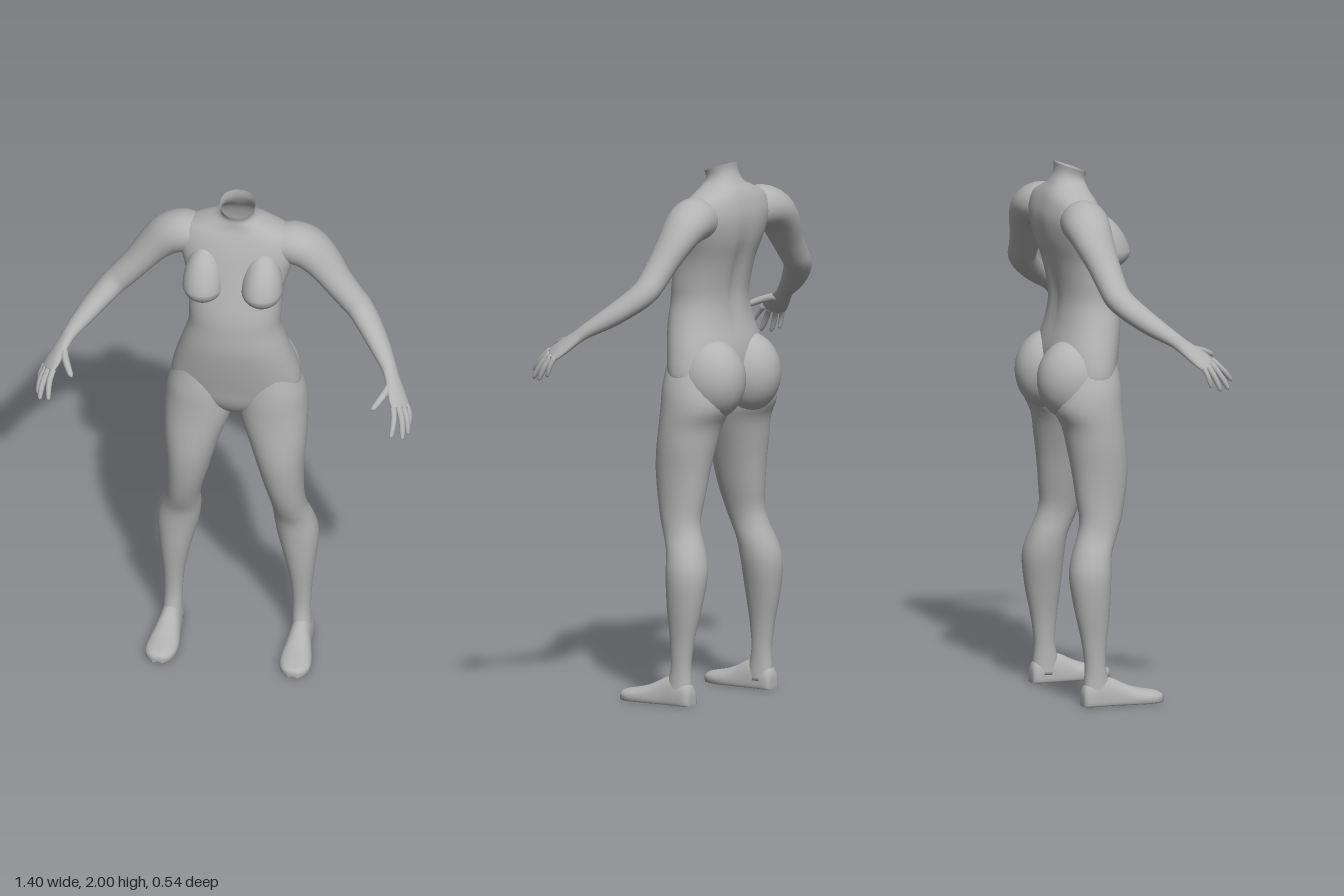
import * as THREE from 'three';

// Catmull-Rom subdivision of rows of numbers, column by column
function refine(rows, steps) {
  const out = [];
  const at = (i) => rows[Math.min(Math.max(i, 0), rows.length - 1)];
  for (let i = 0; i < rows.length - 1; i++) {
    for (let k = 0; k < steps; k++) {
      const t = k / steps;
      out.push(rows[i].map((b, c) => {
        const a = at(i - 1)[c], d = at(i + 1)[c], e = at(i + 2)[c];
        return b + 0.5 * t * (d - a + t * (2 * a - 5 * b + 4 * d - e + t * (3 * (b - d) + e - a)));
      }));
    }
  }
  out.push(rows[rows.length - 1]);
  return out;
}

// Closed skin over rings of Vector3, capped at the ends and wound outward
function skin(rings, capStart = true, capEnd = true) {
  const n = rings[0].length, pos = [], idx = [];
  rings.forEach((r) => r.forEach((p) => pos.push(p.x, p.y, p.z)));
  for (let i = 0; i < rings.length - 1; i++) {
    for (let j = 0; j < n; j++) {
      const a = i * n + j, b = i * n + (j + 1) % n;
      idx.push(a, b, a + n, b, b + n, a + n);
    }
  }
  const cap = (row, flip) => {
    const c = new THREE.Vector3();
    rings[row].forEach((p) => c.addScaledVector(p, 1 / n));
    const m = pos.length / 3;
    pos.push(c.x, c.y, c.z);
    for (let j = 0; j < n; j++) {
      const a = row * n + j, b = row * n + (j + 1) % n;
      idx.push(...(flip ? [m, b, a] : [m, a, b]));
    }
  };
  if (capStart) cap(0, true);
  if (capEnd) cap(rings.length - 1, false);
  // signed volume about the middle decides the winding
  const mid = rings[rings.length >> 1][0];
  const v = (i) => new THREE.Vector3().fromArray(pos, i * 3).sub(mid);
  let volume = 0;
  for (let i = 0; i < idx.length; i += 3) volume += v(idx[i]).dot(v(idx[i + 1]).cross(v(idx[i + 2])));
  if (volume < 0) idx.reverse();
  const g = new THREE.BufferGeometry();
  g.setAttribute('position', new THREE.Float32BufferAttribute(pos, 3));
  g.setIndex(idx);
  g.computeVertexNormals();
  return g;
}

// One ring: calls fn(cos, sin) around the circle, slightly squared by power
function ring(n, power, fn) {
  const sp = (v) => Math.sign(v) * Math.abs(v) ** (2 / power);
  return Array.from({ length: n }, (_, j) => {
    const a = (j / n) * Math.PI * 2;
    return fn(sp(Math.cos(a)), sp(Math.sin(a)));
  });
}

// Limb along a path; rows are [x, y, z, wide radius, thin radius]
const HAND_AXIS = new THREE.Vector3(0.5, -0.2, -0.84);
function limb(rows, side, n, steps) {
  const r = refine(rows, steps);
  const point = (i) => new THREE.Vector3().fromArray(r[Math.min(Math.max(i, 0), r.length - 1)]);
  return skin(r.map((row, i) => {
    const t = point(i + 1).sub(point(i - 1)).normalize();
    const thin = t.clone().cross(HAND_AXIS).normalize();
    const wide = thin.clone().cross(t);
    return ring(n, 2, (c, s) => {
      const p = point(i).addScaledVector(wide, c * row[3]).addScaledVector(thin, s * row[4]);
      p.x *= side;
      return p;
    });
  }));
}

// [y, half width, front z, back z]
const TORSO = [
  [2.0, 0.066, -0.05, -0.167], [1.965, 0.061, -0.056, -0.168], [1.925, 0.078, -0.055, -0.187],
  [1.895, 0.14, -0.05, -0.207], [1.86, 0.205, -0.035, -0.222], [1.8, 0.225, -0.012, -0.234],
  [1.72, 0.2, 0.012, -0.225], [1.64, 0.178, 0.035, -0.2], [1.55, 0.172, 0.058, -0.178],
  [1.48, 0.171, 0.064, -0.171], [1.4, 0.194, 0.065, -0.18], [1.3, 0.225, 0.05, -0.205],
  [1.2, 0.24, 0.03, -0.205], [1.13, 0.18, 0.015, -0.19], [1.075, 0.06, -0.02, -0.15],
  [1.06, 0.015, -0.06, -0.11],
];

// [y, inner x, outer x, front z, back z]
const LEG = [
  [1.28, 0.04, 0.215, 0.015, -0.18], [1.18, 0.01, 0.253, 0.03, -0.215], [1.1, 0.006, 0.265, 0.033, -0.225],
  [1.03, 0.022, 0.266, 0.036, -0.192], [0.95, 0.05, 0.265, 0.042, -0.178], [0.86, 0.078, 0.258, 0.044, -0.165],
  [0.76, 0.105, 0.254, 0.03, -0.154], [0.68, 0.127, 0.256, 0.01, -0.146], [0.62, 0.136, 0.264, -0.012, -0.16],
  [0.56, 0.137, 0.284, -0.036, -0.182], [0.48, 0.147, 0.301, -0.044, -0.199], [0.36, 0.176, 0.292, -0.051, -0.185],
  [0.25, 0.198, 0.279, -0.063, -0.162], [0.15, 0.206, 0.274, -0.069, -0.148], [0.08, 0.205, 0.277, -0.055, -0.152],
  [0.03, 0.202, 0.283, -0.05, -0.155],
];

// [z, inner x, outer x, height]
const FOOT = [
  [-0.162, 0.222, 0.265, 0.045], [-0.15, 0.207, 0.28, 0.08], [-0.1, 0.203, 0.284, 0.105],
  [-0.05, 0.2, 0.287, 0.1], [0, 0.195, 0.297, 0.076], [0.05, 0.19, 0.306, 0.057],
  [0.1, 0.194, 0.309, 0.046], [0.135, 0.21, 0.295, 0.038], [0.152, 0.235, 0.27, 0.026],
];

// Shoulder to knuckles
const ARM = [
  [0.14, 1.8, -0.13, 0.075, 0.07], [0.2, 1.807, -0.137, 0.086, 0.08], [0.26, 1.785, -0.142, 0.086, 0.074],
  [0.315, 1.733, -0.137, 0.076, 0.062], [0.367, 1.667, -0.125, 0.063, 0.053], [0.42, 1.602, -0.115, 0.055, 0.05],
  [0.457, 1.563, -0.105, 0.053, 0.047], [0.5, 1.52, -0.067, 0.05, 0.042], [0.55, 1.47, -0.008, 0.042, 0.036],
  [0.593, 1.427, 0.052, 0.032, 0.026], [0.61, 1.405, 0.08, 0.032, 0.021], [0.63, 1.375, 0.115, 0.039, 0.019],
  [0.649, 1.346, 0.15, 0.045, 0.016], [0.661, 1.328, 0.172, 0.041, 0.011],
];

// Base, tip and radius of each digit
const DIGITS = {
  thumb: [[0.612, 1.39, 0.11], [0.561, 1.348, 0.225], 0.014],
  indexFinger: [[0.637, 1.345, 0.19], [0.64, 1.262, 0.268], 0.011],
  middleFinger: [[0.654, 1.338, 0.178], [0.678, 1.238, 0.24], 0.0115],
  ringFinger: [[0.667, 1.331, 0.16], [0.692, 1.237, 0.203], 0.011],
  littleFinger: [[0.676, 1.328, 0.14], [0.692, 1.253, 0.165], 0.0095],
};

export function createModel() {
  const model = new THREE.Group();
  const skinGrey = new THREE.MeshStandardMaterial({ color: 0xb3b3b3, side: THREE.DoubleSide });
  skinGrey.name = 'plain grey';
  const add = (name, geometry, parent = model) => {
    const mesh = new THREE.Mesh(geometry, skinGrey);
    mesh.name = name;
    parent.add(mesh);
    return mesh;
  };

  // Torso and neck: open slanted neck rim, shallow groove along the spine
  const torso = refine(TORSO, 3).map(([y, w, zf, zb]) => ring(48, 2.2, (c, s) => {
    const p = new THREE.Vector3(c * w, y, (zf + zb) / 2 + s * (zf - zb) / 2);
    if (s < 0) p.z += 0.016 * Math.exp(-((p.x / 0.03) ** 2) - ((y - 1.6) / 0.18) ** 2);
    p.y -= 0.36 * (p.z - zb) * THREE.MathUtils.smoothstep(y, 1.91, 2);
    return p;
  }));
  add('torso', skin(torso, false, true));

  for (const side of [1, -1]) {
    const label = side > 0 ? 'left' : 'right';

    // Breast: full below, stretched and tapering toward the collar bone
    const breast = new THREE.SphereGeometry(1, 28, 20);
    const p = breast.attributes.position;
    for (let i = 0; i < p.count; i++) {
      const y = p.getY(i), up = Math.max(y, 0);
      p.setXYZ(i, p.getX(i) * 0.076, y * (y > 0 ? 0.14 : 0.066), p.getZ(i) * 0.085 - up * 0.04);
    }
    breast.computeVertexNormals();
    add(label + 'Breast', breast).position.set(side * 0.11, 1.675, -0.004);

    // Buttock
    const buttock = new THREE.SphereGeometry(1, 28, 20).scale(0.125, 0.152, 0.135);
    add(label + 'Buttock', buttock).position.set(side * 0.105, 1.2, -0.14);

    // Leg
    const leg = refine(LEG, 3).map(([y, xi, xo, zf, zb]) => ring(32, 2.1, (c, s) =>
      new THREE.Vector3(side * ((xi + xo) / 2 + c * (xo - xi) / 2), y, (zf + zb) / 2 + s * (zf - zb) / 2)));
    add(label + 'Leg', skin(leg));

    // Foot with a flat sole
    const foot = refine(FOOT, 3).map(([z, xi, xo, h]) => ring(28, 2.2, (c, s) => {
      const y = s > 0 ? 0.016 + s * (h - 0.016) : 0.016 * (1 - Math.min(1, -s * 2.5));
      return new THREE.Vector3(side * ((xi + xo) / 2 + c * (xo - xi) / 2), y, z);
    }));
    add(label + 'Foot', skin(foot));

    // Arm with palm, then the digits
    const arm = new THREE.Group();
    arm.name = label + 'Arm';
    model.add(arm);
    add(label + 'ArmAndPalm', limb(ARM, side, 28, 3), arm);
    for (const [name, [a, b, r]] of Object.entries(DIGITS)) {
      const rows = [[0, 1.1], [0.35, 1], [0.65, 0.95], [0.9, 0.75], [0.97, 0.5], [1, 0.15]].map(([t, k]) => {
        const bend = 0.01 * Math.sin(Math.PI * t);
        return [a[0] + (b[0] - a[0]) * t + bend * 0.6, a[1] + (b[1] - a[1]) * t + bend * 0.5,
          a[2] + (b[2] - a[2]) * t, r * k, r * k];
      });
      add(label + name[0].toUpperCase() + name.slice(1), limb(rows, side, 12, 2), arm);
    }
  }
  return model;
}
